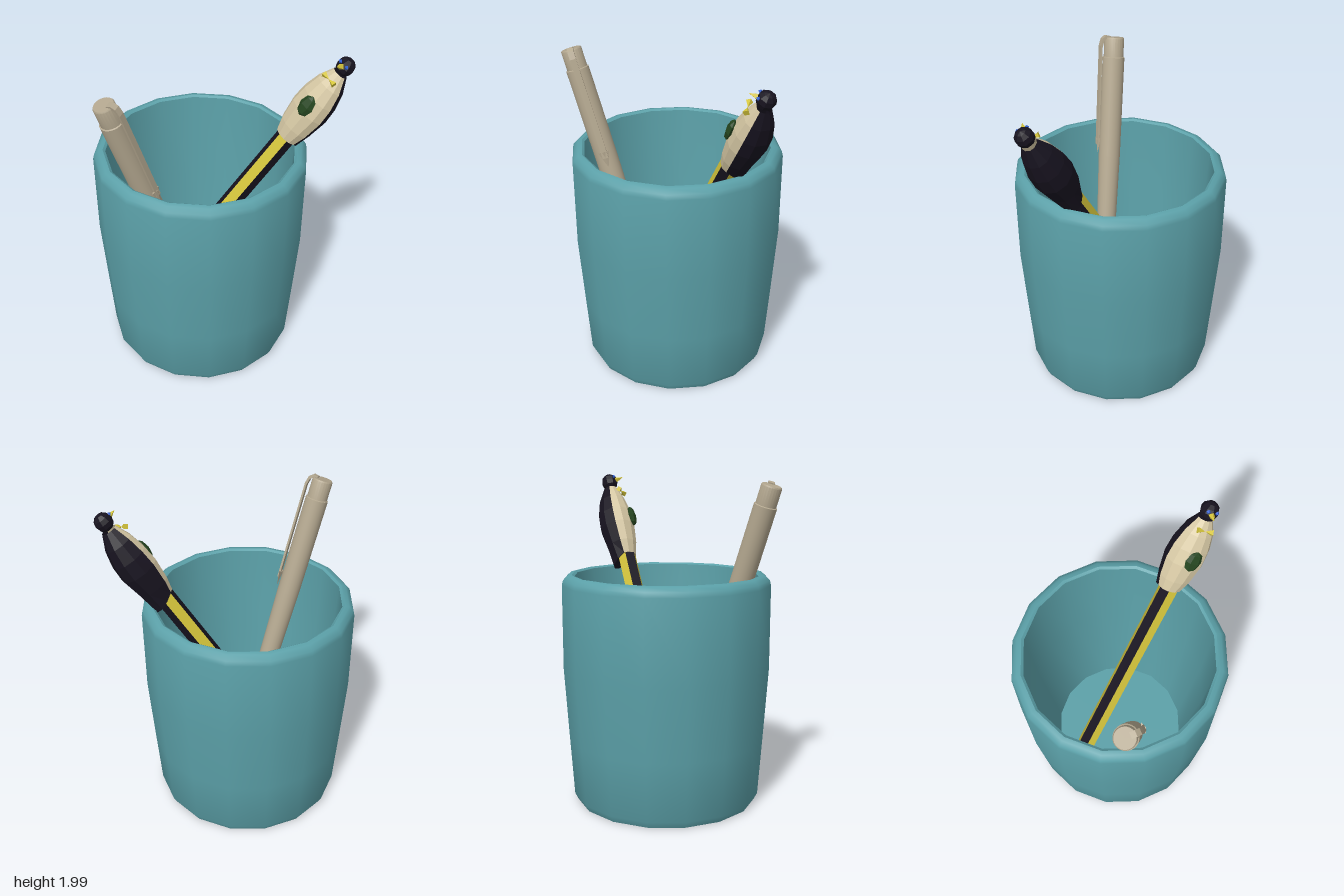
import * as THREE from 'three';
import { toCreasedNormals } from 'three/addons/utils/BufferGeometryUtils.js';

const TEAL = 0x5ba0a8, BEIGE = 0xb3a78f, CREAM = 0xd6c8a4, BLACK = 0x17131f;
const YELLOW = 0xd6c63c, WOOD = 0xa8734c, GREEN = 0x25451f, BLUE = 0x2f5fd0;

const v = (x, y, z) => new THREE.Vector3(x, y, z);
const pts = list => list.map(([r, y]) => new THREE.Vector2(r, y));

function add(parent, name, geometry, color, flat = false) {
  const material = new THREE.MeshStandardMaterial({ color, flatShading: flat, side: THREE.DoubleSide });
  const mesh = new THREE.Mesh(geometry, material);
  mesh.name = name;
  parent.add(mesh);
  return mesh;
}

// Group whose y axis runs along a direction and whose z axis leans toward a second one
function frame(parent, name, origin, axis, toward) {
  const y = axis.clone().normalize();
  const z = toward.clone().addScaledVector(y, -toward.dot(y)).normalize();
  const x = y.clone().cross(z);
  const group = new THREE.Group();
  group.name = name;
  group.quaternion.setFromRotationMatrix(new THREE.Matrix4().makeBasis(x, y, z));
  group.position.copy(origin);
  parent.add(group);
  return group;
}

function makeCup(parent) {
  const profile = pts([
    [0, 0], [0.56, 0], [0.58, 0.04], [0.605, 0.4], [0.634, 0.84], [0.634, 1.35], [0.627, 1.38],
    [0.6, 1.405], [0.575, 1.41], [0.56, 1.4], [0.525, 0.84], [0.43, 0.045], [0, 0.045],
  ]);
  const cup = add(parent, 'cup', toCreasedNormals(new THREE.LatheGeometry(profile, 16), 0.7), TEAL);
  cup.position.x = -0.035;
}

function makePen(parent) {
  const tip = v(-0.045, 0.045, 0.13), top = v(-0.665, 1.94, 0.135);
  const pen = frame(parent, 'pen', tip, top.sub(tip), v(0, 0, 1));

  const body = pts([[0, 0], [0.012, 0], [0.024, 0.04], [0.045, 0.3], [0.061, 0.75],
    [0.069, 1.25], [0.069, 1.87], [0.06, 1.875]]);
  add(pen, 'penBody', toCreasedNormals(new THREE.LatheGeometry(body, 24), 0.6), BEIGE);
  const cap = pts([[0.062, 1.86], [0.062, 1.985], [0.057, 1.993], [0, 1.993]]);
  add(pen, 'penCap', toCreasedNormals(new THREE.LatheGeometry(cap, 24), 0.6), BEIGE);

  // Clip: an arm bent over the cap, a long strip and a pointed end
  const clip = new THREE.Group();
  clip.name = 'penClip';
  clip.rotation.y = -1;
  pen.add(clip);
  const outline = new THREE.Shape(pts([[0.03, 1.985], [0.03, 2.0], [0.06, 2.005], [0.085, 1.985], [0.096, 1.94],
    [0.092, 1.32], [0.08, 1.32], [0.084, 1.93], [0.074, 1.97], [0.055, 1.985]]));
  const strip = new THREE.ExtrudeGeometry(outline, { depth: 0.036, bevelEnabled: false });
  add(clip, 'clipStrip', strip.translate(0, 0, -0.018), BEIGE, true);
  const end = add(clip, 'clipEnd', new THREE.ConeGeometry(0.035, 0.1, 4), BEIGE, true);
  end.rotation.x = Math.PI;
  end.scale.x = 0.4;
  end.position.set(0.083, 1.31, 0);
}

function makePencil(parent, tip, axis) {
  const pencil = frame(parent, 'pencil', tip, axis, v(0, 1, 0));
  const r = 0.06, cone = 0.17, length = 1.74, step = Math.PI / 3;

  // Six sides in alternating colours
  for (let i = 0; i < 6; i++) {
    const side = new THREE.CylinderGeometry(r, r, length - cone, 1, 1, true, (i - 0.5) * step, step);
    side.translate(0, (length + cone) / 2, 0);
    add(pencil, 'pencilSide', side, i % 2 ? YELLOW : BLACK, true);
  }
  const wood = new THREE.CylinderGeometry(r, 0.018, cone * 0.7, 6, 1, true, step / 2);
  add(pencil, 'pencilWood', wood.translate(0, cone * 0.65, 0), WOOD, true);
  const lead = new THREE.CylinderGeometry(0.018, 0.002, cone * 0.3, 6, 1, false, step / 2);
  add(pencil, 'pencilLead', lead.translate(0, cone * 0.15, 0), BLACK, true);
}

function makeBird(parent, base, axis) {
  const bird = frame(parent, 'birdTopper', base, axis, v(-1, 0, 0));
  bird.rotateY(0.2);

  // Body shell: flatter belly, fuller back, and a tail drawn down behind
  const profile = pts([[0.03, 0.08], [0.075, 0.065], [0.1, 0.15], [0.118, 0.28],
    [0.112, 0.38], [0.088, 0.48], [0.045, 0.57]]);
  const shell = (start, span, sides) => {
    const g = new THREE.LatheGeometry(profile, sides, start, span);
    const p = g.attributes.position;
    for (let i = 0; i < p.count; i++) {
      const y = p.getY(i), z = p.getZ(i);
      p.setZ(i, z * (z > 0 ? 0.78 : 1.15));
      if (y < 0.07 && z < -0.02) {
        p.setY(i, y + z * 0.7);
        p.setZ(i, z * 1.35);
      }
    }
    g.computeVertexNormals();
    return g;
  };
  const half = 1.4;
  add(bird, 'belly', shell(-half, 2 * half, 5), CREAM, true);
  add(bird, 'back', shell(half, 2 * (Math.PI - half), 6), BLACK, true);

  // Head
  const head = add(bird, 'head', new THREE.SphereGeometry(0.055, 8, 6), BLACK, true);
  head.position.set(0, 0.62, 0);
  const beak = add(bird, 'beak', new THREE.ConeGeometry(0.022, 0.055, 4), YELLOW, true);
  beak.rotation.x = Math.PI / 2;
  beak.position.set(0, 0.62, 0.07);

  for (const s of [-1, 1]) {
    const eye = add(bird, 'eye', new THREE.OctahedronGeometry(0.014), BLUE, true);
    eye.position.set(s * 0.026, 0.636, 0.043);
    // Bow tie: two cones meeting at the knot
    const bow = add(bird, 'bowTie', new THREE.ConeGeometry(0.02, 0.045, 4), YELLOW, true);
    bow.rotation.z = s * Math.PI / 2;
    bow.position.set(s * 0.022, 0.525, 0.066);
  }

  // Green piece on the belly
  const badge = add(bird, 'bellyBadge', new THREE.SphereGeometry(1, 6, 4), GREEN, true);
  badge.scale.set(0.048, 0.07, 0.026);
  badge.position.set(0.01, 0.33, 0.092);
}

export function createModel() {
  const model = new THREE.Group();
  model.name = 'penCup';
  makeCup(model);
  makePen(model);
  const tip = v(-0.345, 0.05, -0.25), base = v(0.388, 1.41, 0.2);
  const axis = base.clone().sub(tip);
  makePencil(model, tip, axis);
  makeBird(model, base, axis);
  return model;
}
